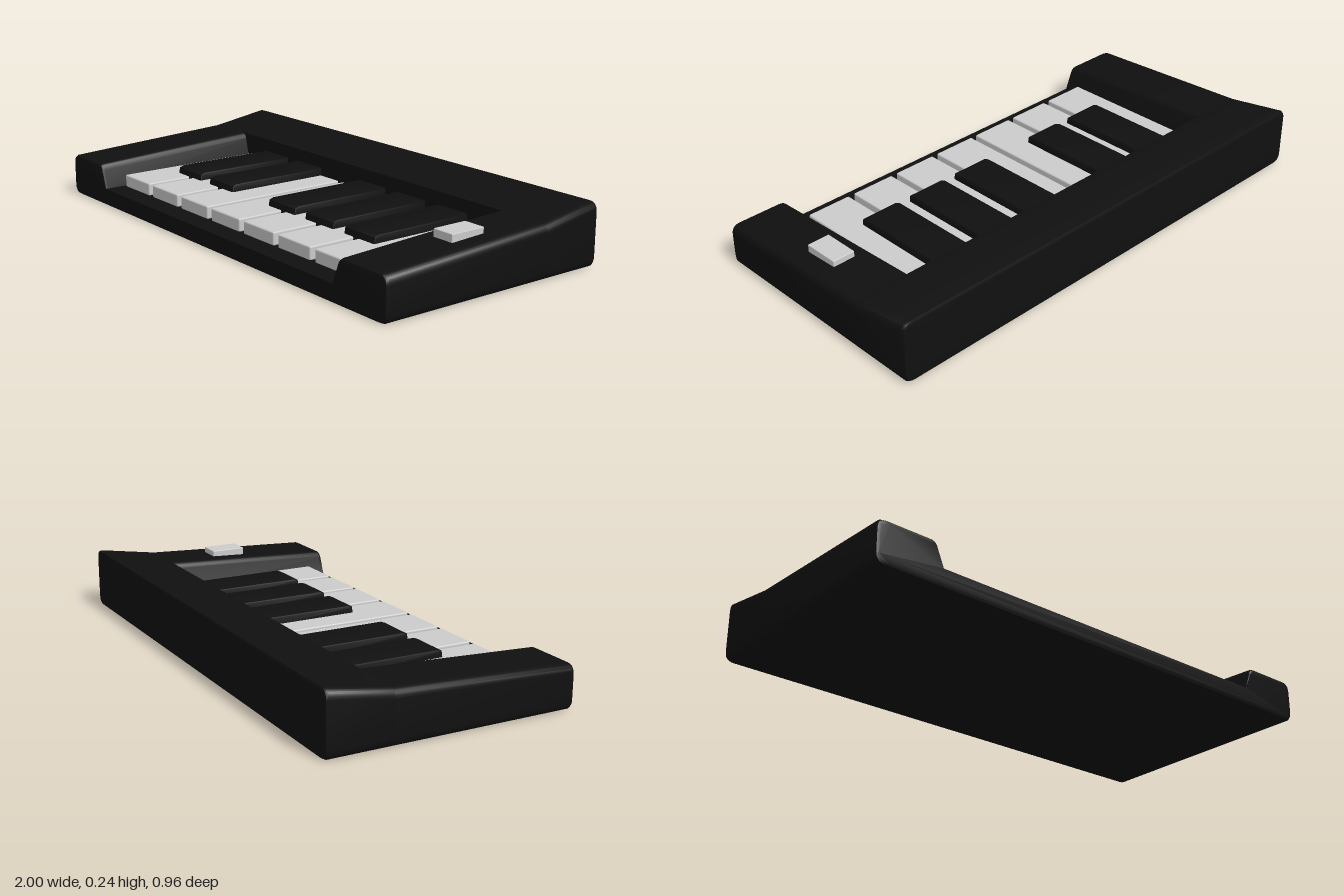
import * as THREE from 'three';
import { toCreasedNormals } from 'three/addons/utils/BufferGeometryUtils.js';
import { RoundedBoxGeometry } from 'three/addons/geometries/RoundedBoxGeometry.js';

const black = new THREE.MeshStandardMaterial({ color: 0x101010 });
const grey = new THREE.MeshStandardMaterial({ color: 0xcccccc });

const H = 0.2, BACK = -0.23; // case height and z where the keybed ends

// Case height along z: gentle slope over the keys, steeper at the back
function topAt(z) {
  return z > BACK ? H - 0.035 * (z - BACK) / 0.71 : H + 0.04 * (BACK - z) / 0.25;
}

// Cross-section of the case, optionally with the open keybed notch
function section(notched) {
  const r = 0.035, s = new THREE.Shape();
  s.moveTo(-1 + r, 0);
  s.lineTo(1 - r, 0);
  s.quadraticCurveTo(1, 0, 1, r);
  s.lineTo(1, H - r);
  s.quadraticCurveTo(1, H, 1 - r, H);
  if (notched) {
    s.lineTo(0.79, H);
    s.quadraticCurveTo(0.765, H, 0.76, H - 0.025);
    s.lineTo(0.735, 0.07);
    s.lineTo(-0.735, 0.07);
    s.lineTo(-0.76, H - 0.025);
    s.quadraticCurveTo(-0.765, H, -0.79, H);
  }
  s.lineTo(-1 + r, H);
  s.quadraticCurveTo(-1, H, -1, H - r);
  s.lineTo(-1, r);
  s.quadraticCurveTo(-1, 0, -1 + r, 0);
  return s;
}

// Sweep a section through layers of [z, inset], following the case height
function casePart(name, notched, layers) {
  const steps = layers.length - 1;
  const geo = new THREE.ExtrudeGeometry(section(notched), { depth: steps, steps, bevelEnabled: false, curveSegments: 6 });
  const p = geo.attributes.position;
  for (let i = 0; i < p.count; i++) {
    const [z, inset] = layers[Math.round(p.getZ(i))];
    let y = p.getY(i);
    if (y > 0.1) y += topAt(z) - H;
    if (y > 0.1) y -= inset;
    if (y < 0.05) y += inset;
    const x = p.getX(i);
    p.setXYZ(i, Math.abs(x) > 0.9 ? x - Math.sign(x) * inset : x, y, z);
  }
  const mesh = new THREE.Mesh(toCreasedNormals(geo, 0.6), black);
  mesh.name = name;
  return mesh;
}

// Slightly rounded block given by its limits
function block(name, material, [x0, x1], [y0, y1], [z0, z1], r) {
  const mesh = new THREE.Mesh(new RoundedBoxGeometry(x1 - x0, y1 - y0, z1 - z0, 2, r), material);
  mesh.position.set((x0 + x1) / 2, (y0 + y1) / 2, (z0 + z1) / 2);
  mesh.name = name;
  return mesh;
}

// Black key: side profile with a sloped nose, extruded across x
function blackKey(x) {
  const profile = new THREE.Shape([
    [0.23, 0.1], [0.23, 0.15], [-0.185, 0.15], [-0.203, 0.143], [-0.21, 0.1],
  ].map(([a, b]) => new THREE.Vector2(a, b)).reverse());
  const width = 0.163, bevel = 0.006;
  const geo = new THREE.ExtrudeGeometry(profile, {
    depth: width - 2 * bevel, bevelSize: bevel, bevelThickness: bevel, bevelOffset: -bevel, bevelSegments: 2,
  });
  geo.translate(0, 0, -width / 2 + bevel).rotateY(Math.PI / 2);
  // after the turn, profile x runs along -z
  const mesh = new THREE.Mesh(toCreasedNormals(geo, 0.6), black);
  mesh.position.x = x;
  mesh.name = 'blackKey';
  return mesh;
}

export function createModel() {
  const model = new THREE.Group();
  model.name = 'miniKeyboard';

  // Case: notched front with two side wings, solid raised back
  model.add(casePart('frontCase', true, [[BACK, 0], [0.466, 0], [0.475, 0.004], [0.478, 0.012]]));
  model.add(casePart('backCase', false, [[-0.478, 0.012], [-0.475, 0.004], [-0.466, 0], [BACK, 0]]));

  // Seven white keys
  const whiteKeys = new THREE.Group();
  whiteKeys.name = 'whiteKeys';
  for (let i = -3; i <= 3; i++) {
    const x = i * 0.209;
    whiteKeys.add(block('whiteKey', grey, [x - 0.092, x + 0.092], [0.07, 0.12], [BACK, 0.395], 0.006));
  }
  model.add(whiteKeys);

  // Five black keys in groups of two and three
  const blackKeys = new THREE.Group();
  blackKeys.name = 'blackKeys';
  for (const x of [-0.533, -0.308, 0.09, 0.315, 0.538]) blackKeys.add(blackKey(x));
  model.add(blackKeys);

  // Rocker button on the left wing
  model.add(block('button', grey, [0.825, 0.915], [0.17, 0.212], [-0.015, 0.128], 0.003));

  return model;
}
